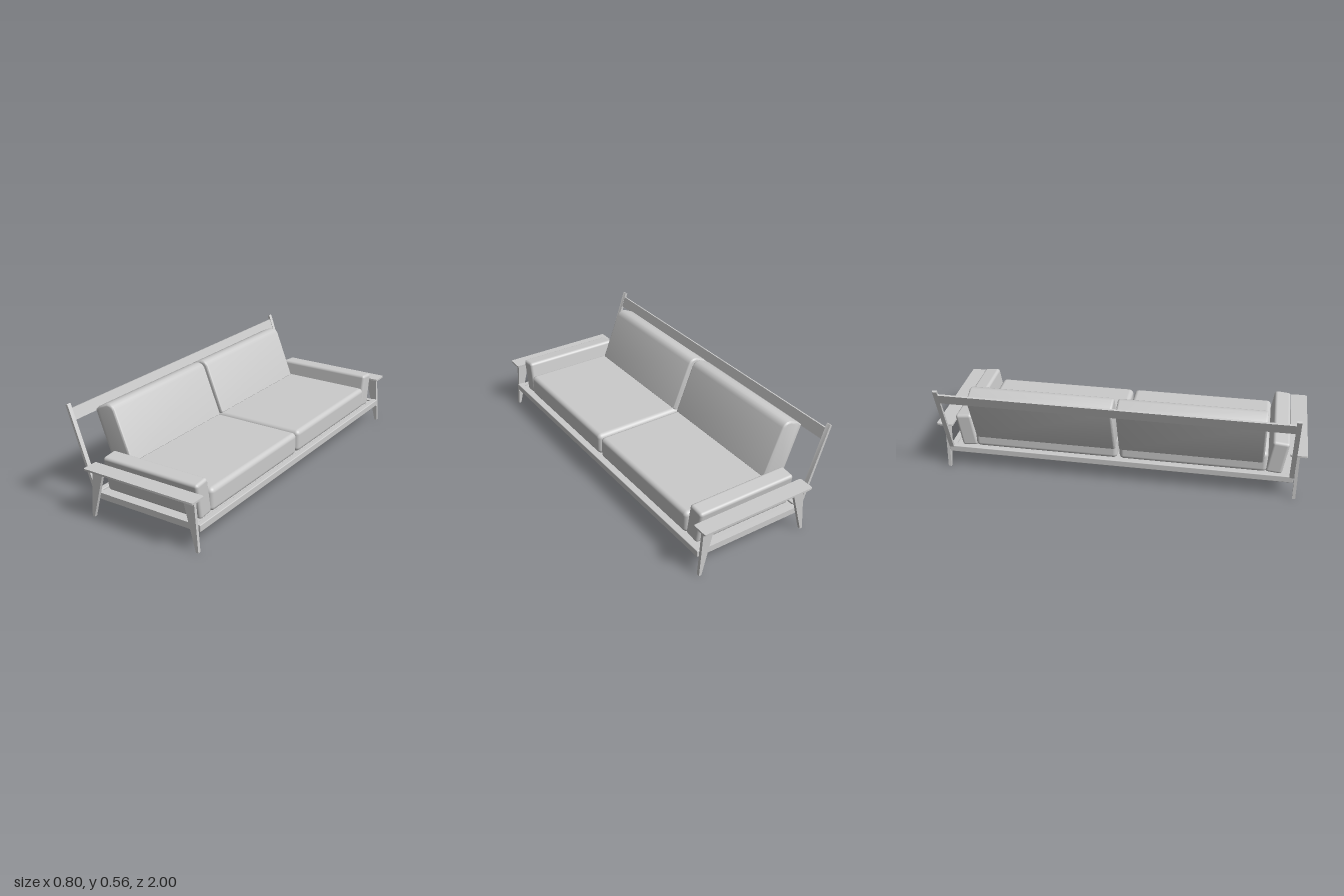
import * as THREE from 'three';
import { RoundedBoxGeometry } from 'three/addons/geometries/RoundedBoxGeometry.js';
import { toCreasedNormals } from 'three/addons/utils/BufferGeometryUtils.js';

const material = new THREE.MeshStandardMaterial({ color: 0xcccccc });

function add(parent, name, geometry, x = 0, y = 0, z = 0) {
  const mesh = new THREE.Mesh(geometry, material);
  mesh.name = name;
  mesh.position.set(x, y, z);
  parent.add(mesh);
  return mesh;
}

// Side profile in x/y, extruded so that it spans z0 to z1 with optional rounded ends
function profile(points, z0, z1, bevel = 0) {
  const shape = new THREE.Shape(points.map(([x, y]) => new THREE.Vector2(x, y)));
  const geometry = new THREE.ExtrudeGeometry(shape, {
    depth: z1 - z0 - 2 * bevel,
    bevelEnabled: bevel > 0,
    bevelThickness: bevel,
    bevelSize: bevel,
    bevelOffset: -bevel,
    bevelSegments: 4,
  });
  geometry.translate(0, 0, z0 + bevel);
  return toCreasedNormals(geometry, 0.6);
}

// Box from x0..x1, y0..y1, z0..z1
function block(parent, name, x0, x1, y0, y1, z0, z1, radius = 0) {
  const size = [x1 - x0, y1 - y0, z1 - z0];
  const geometry = radius ? new RoundedBoxGeometry(...size, 4, radius) : new THREE.BoxGeometry(...size);
  return add(parent, name, geometry, (x0 + x1) / 2, (y0 + y1) / 2, (z0 + z1) / 2);
}

// Armrest board with rounded corners, lying flat
function armBoard() {
  const [x0, x1, z0, z1, r] = [-0.258, 0.395, -0.045, 0.045, 0.012];
  const s = new THREE.Shape();
  s.moveTo(x0 + r, z0);
  s.lineTo(x1 - r, z0).quadraticCurveTo(x1, z0, x1, z0 + r);
  s.lineTo(x1, z1 - r).quadraticCurveTo(x1, z1, x1 - r, z1);
  s.lineTo(x0 + r, z1).quadraticCurveTo(x0, z1, x0, z1 - r);
  s.lineTo(x0, z0 + r).quadraticCurveTo(x0, z0, x0 + r, z0);
  const g = new THREE.ExtrudeGeometry(s, { depth: 0.01, bevelEnabled: false, curveSegments: 6 });
  return toCreasedNormals(g.rotateX(-Math.PI / 2), 0.6);
}

export function createModel() {
  const sofa = new THREE.Group();
  sofa.name = 'sofa';

  // Base: platform with a tapered underside, framed by four rails
  const base = new THREE.Group();
  base.name = 'base';
  sofa.add(base);
  const underside = new THREE.BoxGeometry(0.62, 0.009, 1.87);
  const p = underside.attributes.position;
  for (let i = 0; i < p.count; i++) {
    if (p.getY(i) < 0) p.setXYZ(i, p.getX(i) * 0.95, p.getY(i), p.getZ(i) * 0.99);
  }
  underside.computeVertexNormals();
  add(base, 'basePanel', underside, 0.07, 0.0965, 0);
  block(base, 'platform', -0.225, 0.36, 0.1, 0.127, -0.91, 0.91);
  block(base, 'frontRail', 0.362, 0.392, 0.1, 0.137, -0.94, 0.94, 0.004);
  block(base, 'backRail', -0.252, -0.222, 0.1, 0.137, -0.94, 0.94, 0.004);
  for (const s of [-1, 1]) {
    block(base, 'sideRail', -0.23, 0.37, 0.1, 0.133, s * 0.925 - 0.015, s * 0.925 + 0.015);
  }

  // One-piece side frame: two tapered legs joined under the arm
  const legs = [
    [-0.254, 0], [-0.24, 0], [-0.172, 0.25], [-0.045, 0.264], [0.183, 0.264],
    [0.312, 0.25], [0.379, 0], [0.393, 0], [0.373, 0.267], [-0.234, 0.267],
  ];
  // Leaning back post
  const post = [[-0.252, 0.13], [-0.238, 0.137], [-0.387, 0.558], [-0.391, 0.561], [-0.4, 0.555]];

  // Back cushion section, leaning with a crowned top
  const backSection = [
    [-0.243, 0.205], [-0.225, 0.207], [-0.142, 0.238], [-0.135, 0.252], [-0.237, 0.507],
    [-0.25, 0.523], [-0.266, 0.53], [-0.287, 0.53], [-0.34, 0.506], [-0.36, 0.486],
    [-0.257, 0.215],
  ];

  for (const s of [-1, 1]) {
    const side = s > 0 ? 'left' : 'right';
    const span = (a, b) => (s > 0 ? [a, b] : [-b, -a]);

    add(sofa, side + 'SideFrame', profile(legs, ...span(0.944, 0.961)));
    add(sofa, side + 'ArmBoard', armBoard(), 0, 0.266, s * 0.955);
    add(sofa, side + 'BackPost', profile(post, ...span(0.918, 0.942)));

    // Seat and back cushions
    block(sofa, side + 'SeatCushion', -0.22, 0.36, 0.127, 0.25, ...span(0.005, 0.8), 0.025);
    add(sofa, side + 'BackCushion', profile(backSection, ...span(0.01, 0.78), 0.012));

    // Arm cushion, tilted outwards by shearing its section
    const arm = new RoundedBoxGeometry(0.567, 0.19, 0.09, 4, 0.016);
    arm.applyMatrix4(new THREE.Matrix4().set(
      1, 0, 0, 0,
      0, 1, -s * 0.1, 0,
      0, s * 0.16, 1, 0,
      0, 0, 0, 1,
    ));
    add(sofa, side + 'ArmCushion', arm, 0.0685, 0.22, s * 0.848);
  }

  // Top rail between the back posts, following their lean
  const topRail = [[-0.372, 0.475], [-0.361, 0.478], [-0.381, 0.535], [-0.392, 0.532]];
  add(sofa, 'topRail', profile(topRail, -0.935, 0.935));

  return sofa;
}
